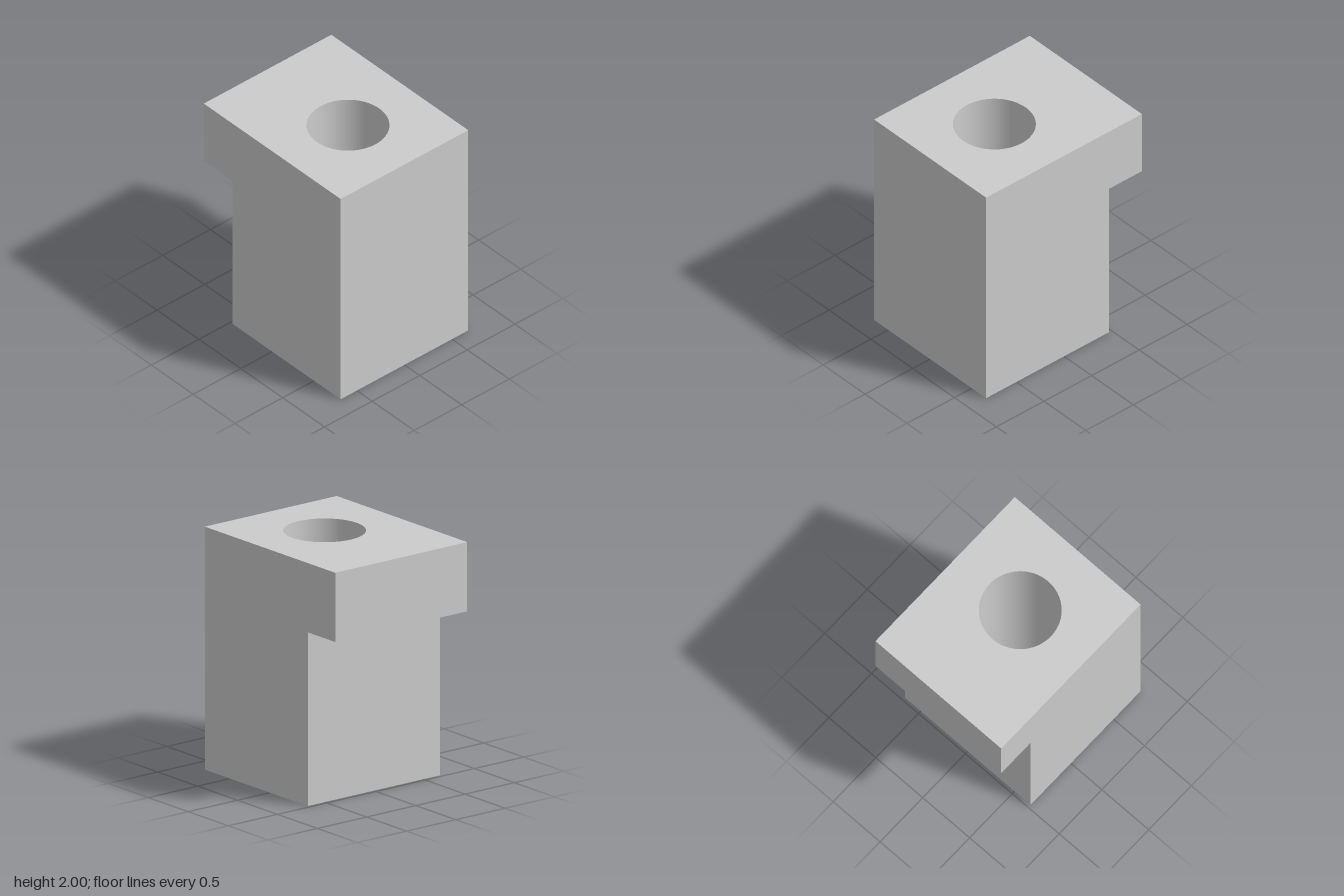
import * as THREE from 'three';

const DEPTH = 1.34, HEIGHT = 2;
const HOLE_X = 0.143, HOLE_R = 0.327, SEGMENTS = 96;

// Front outline of the block with its side lip, counter-clockwise
const OUTLINE = [
  [-0.473, 0], [0.817, 0], [0.817, HEIGHT],
  [-0.817, HEIGHT], [-0.817, 1.43], [-0.473, 1.43],
].map(([x, y]) => new THREE.Vector2(x, y));

// One flat wall swept from an outline edge, optionally pierced by the bore
function wall(a, b, pierced) {
  const length = a.distanceTo(b), h = DEPTH / 2;
  const shape = new THREE.Shape([[0, -h], [length, -h], [length, h], [0, h]]
    .map(([u, v]) => new THREE.Vector2(u, v)));
  if (pierced) {
    shape.holes.push(new THREE.Path().absarc(Math.abs(HOLE_X - a.x), 0, HOLE_R, 0, Math.PI * 2, true));
  }
  const along = new THREE.Vector3(b.x - a.x, b.y - a.y, 0).normalize();
  const normal = new THREE.Vector3(along.y, -along.x, 0);
  const place = new THREE.Matrix4().makeBasis(along, new THREE.Vector3(0, 0, 1), normal);
  place.setPosition(a.x, a.y, 0);
  return new THREE.ShapeGeometry(shape, SEGMENTS / 2).applyMatrix4(place);
}

export function createModel() {
  const group = new THREE.Group();
  group.name = 'boredBlock';
  const grey = new THREE.MeshStandardMaterial({ color: 0xcccccc });
  grey.name = 'light grey';
  const add = (name, geometry) => {
    const mesh = new THREE.Mesh(geometry, grey);
    mesh.name = name;
    group.add(mesh);
    return mesh;
  };

  // Walls around the outline; the bottom and top carry the bore opening
  const names = ['bottomFace', 'leftFace', 'topFace', 'lipEnd', 'lipUnderside', 'rightFace'];
  OUTLINE.forEach((a, i) => {
    const b = OUTLINE[(i + 1) % OUTLINE.length];
    add(names[i], wall(a, b, i === 0 || i === 2));
  });

  // Front and back faces
  const face = new THREE.ShapeGeometry(new THREE.Shape(OUTLINE));
  add('frontFace', face).position.z = DEPTH / 2;
  const mirrored = OUTLINE.map((p) => new THREE.Vector2(-p.x, p.y));
  const back = add('backFace', new THREE.ShapeGeometry(new THREE.Shape(mirrored)));
  back.rotation.y = Math.PI;
  back.position.z = -DEPTH / 2;

  // Vertical through bore, profile runs downward so it faces inward
  const bore = new THREE.LatheGeometry(
    [new THREE.Vector2(HOLE_R, HEIGHT), new THREE.Vector2(HOLE_R, 0)], SEGMENTS);
  add('bore', bore).position.x = HOLE_X;

  return group;
}
